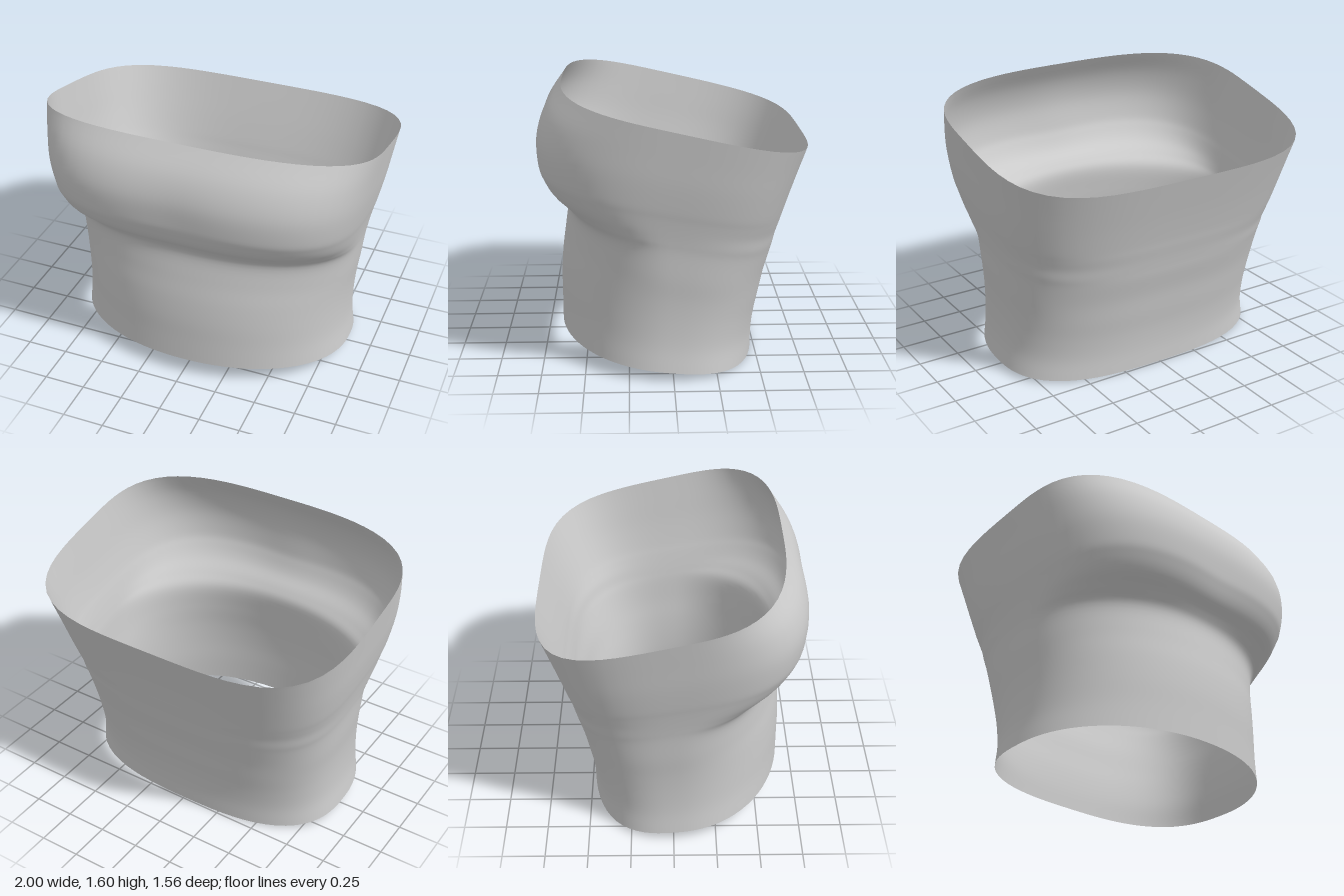
import * as THREE from 'three';

// Cross-section keys from hem to top edge:
// [height fraction, front z, back z, half width, front squareness, back squareness]
const KEYS = [
  [0.00, 0.660, -0.490, 0.860, 2.10, 2.8],
  [0.10, 0.660, -0.495, 0.843, 2.10, 2.8],
  [0.20, 0.660, -0.510, 0.840, 2.10, 2.9],
  [0.30, 0.650, -0.535, 0.847, 2.10, 3.0],
  [0.40, 0.630, -0.560, 0.863, 2.10, 3.1],
  [0.50, 0.615, -0.595, 0.876, 2.22, 3.2],
  [0.55, 0.650, -0.610, 0.886, 2.60, 3.3],
  [0.60, 0.718, -0.626, 0.898, 2.90, 3.3],
  [0.65, 0.757, -0.644, 0.912, 3.10, 3.4],
  [0.70, 0.778, -0.661, 0.928, 3.20, 3.5],
  [0.80, 0.782, -0.700, 0.955, 3.20, 3.6],
  [0.90, 0.735, -0.742, 0.977, 3.15, 3.7],
  [1.00, 0.635, -0.785, 1.000, 3.10, 3.8],
];
const ROWS = 60, COLS = 80;

// Smooth curves through the keys, three values each
const curve = (a, b, c) => new THREE.CatmullRomCurve3(
  KEYS.map(k => new THREE.Vector3(k[a], k[b], k[c])), false, 'catmullrom', 0.5);
const depthCurve = curve(0, 1, 2);
const shapeCurve = curve(3, 4, 5);

function garmentGeometry() {
  const pos = [], index = [];
  for (let i = 0; i <= ROWS; i++) {
    const { x: t, y: zf, z: zb } = depthCurve.getPoint(i / ROWS);
    const { x: w, y: nf, z: nb } = shapeCurve.getPoint(i / ROWS);
    const z0 = 0.03; // widest line of the body
    for (let j = 0; j < COLS; j++) {
      const a = (j / COLS) * Math.PI * 2;
      const c = Math.cos(a), s = Math.sin(a);
      const n = s >= 0 ? nf : nb;
      const r = Math.pow(Math.abs(c) ** n + Math.abs(s) ** n, -1 / n);
      const x = w * c * r;
      let z = z0 + (s >= 0 ? zf - z0 : z0 - zb) * s * r;
      // shallow hollow at the centre of the chest
      if (s > 0) z -= 0.012 * Math.exp(-((x / 0.2) ** 2) - ((t - 0.72) / 0.14) ** 2);
      // both edges slope down towards the back
      const k = (z - zb) / (zf - zb);
      const y = THREE.MathUtils.lerp(1.277 * t, 0.11 + 1.49 * t, k);
      pos.push(x, y, z);
      if (i < ROWS) {
        const p = i * COLS + j, q = i * COLS + (j + 1) % COLS;
        index.push(p, p + COLS, q, q, p + COLS, q + COLS);
      }
    }
  }
  const g = new THREE.BufferGeometry();
  g.setAttribute('position', new THREE.Float32BufferAttribute(pos, 3));
  g.setIndex(index);
  g.computeVertexNormals();
  return g;
}

export function createModel() {
  const group = new THREE.Group();
  group.name = 'strapless top';
  // Open fabric tube
  const top = new THREE.Mesh(garmentGeometry(), new THREE.MeshStandardMaterial({
    color: 0xcccccc, side: THREE.DoubleSide,
  }));
  top.name = 'fabric';
  group.add(top);
  return group;
}
